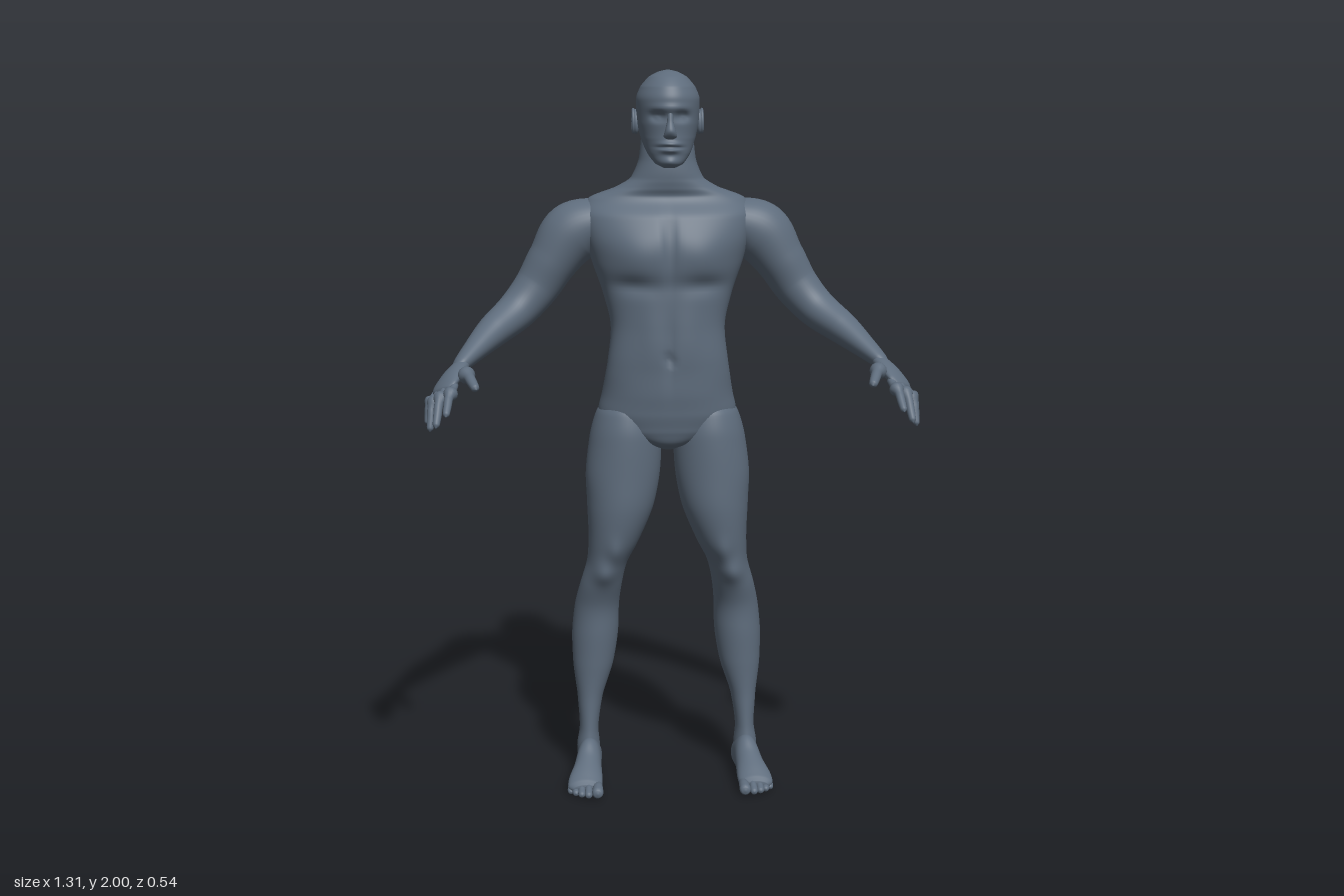
import * as THREE from 'three';

const skin = new THREE.MeshStandardMaterial({ color: 0x5e6c7c });
skin.name = 'slate skin';

// Smooth loft through sections [x, y, z, halfU, halfV]. With a fixed axis all
// rings stay parallel, otherwise they follow the path.
function loft(sections, { hint = [1, 0, 0], axis = null, seg = 24, steps = 24, power = 1 } = {}) {
  const path = new THREE.CatmullRomCurve3(sections.map(s => new THREE.Vector3(s[0], s[1], s[2])));
  const size = new THREE.CatmullRomCurve3(sections.map(s => new THREE.Vector3(s[3], s[4], 0)));
  const pos = [], idx = [];
  const soft = v => Math.sign(v) * Math.abs(v) ** power;
  for (let i = 0; i <= steps; i++) {
    const k = i / steps, c = path.getPoint(k), r = size.getPoint(k);
    const t = axis ? new THREE.Vector3(...axis) : path.getTangent(k);
    const u = new THREE.Vector3(...hint).projectOnPlane(t).normalize();
    const v = t.clone().cross(u);
    for (let j = 0; j < seg; j++) {
      const a = (j / seg) * Math.PI * 2;
      const p = c.clone().addScaledVector(u, r.x * soft(Math.cos(a))).addScaledVector(v, r.y * soft(Math.sin(a)));
      pos.push(p.x, p.y, p.z);
      if (i === steps) continue;
      const n = (j + 1) % seg, A = i * seg + j, B = i * seg + n;
      idx.push(A, B, A + seg, B, B + seg, A + seg);
    }
  }
  // End caps
  const first = path.getPoint(0), last = path.getPoint(1), top = steps * seg, pole = top + seg;
  pos.push(first.x, first.y, first.z, last.x, last.y, last.z);
  for (let j = 0; j < seg; j++) {
    const n = (j + 1) % seg;
    idx.push(pole, n, j, pole + 1, top + j, top + n);
  }
  const g = new THREE.BufferGeometry();
  g.setAttribute('position', new THREE.Float32BufferAttribute(pos, 3));
  g.setIndex(idx);
  g.computeVertexNormals();
  return g;
}

// Soft muscle bumps: [x, y, z, spreadX, spreadY, spreadZ, push in z]
function sculpt(g, bumps) {
  const p = g.attributes.position;
  for (let i = 0; i < p.count; i++) {
    const x = p.getX(i), y = p.getY(i), z = p.getZ(i);
    let dz = 0;
    for (const [bx, by, bz, sx, sy, sz, push] of bumps)
      dz += push * Math.exp(-(((x - bx) / sx) ** 2) - ((y - by) / sy) ** 2 - ((z - bz) / sz) ** 2);
    p.setZ(i, z + dz);
  }
  g.computeVertexNormals();
  return g;
}
const both = list => list.flatMap(b => [b, [-b[0], ...b.slice(1)]]);

export function createModel() {
  const model = new THREE.Group();
  model.name = 'figure';
  const add = (name, g, parent = model) => {
    const m = new THREE.Mesh(g, skin);
    m.name = name;
    parent.add(m);
    return m;
  };
  const up = [0, 1, 0], down = [0, -1, 0];

  // Torso and neck, bottom to top
  const torso = loft([
    [0, 0.965, -0.10, 0.02, 0.03], [0, 0.985, -0.11, 0.08, 0.075], [0, 1.02, -0.125, 0.165, 0.105],
    [0, 1.07, -0.129, 0.192, 0.118], [0, 1.12, -0.123, 0.182, 0.118], [0, 1.2, -0.1, 0.168, 0.098],
    [0, 1.3, -0.102, 0.157, 0.1], [0, 1.4, -0.12, 0.178, 0.117], [0, 1.48, -0.127, 0.206, 0.13],
    [0, 1.55, -0.131, 0.225, 0.133], [0, 1.61, -0.141, 0.235, 0.12], [0, 1.655, -0.152, 0.215, 0.09],
    [0, 1.685, -0.142, 0.14, 0.083], [0, 1.71, -0.13, 0.1, 0.074], [0, 1.76, -0.124, 0.078, 0.067],
    [0, 1.83, -0.123, 0.07, 0.06],
  ], { axis: up, seg: 112, steps: 110, power: 0.9 });
  add('torso', sculpt(torso, [
    [0, 1.53, 0, 0.014, 0.09, 0.06, -0.012],      // breastbone groove
    [0, 1.25, 0, 0.012, 0.1, 0.05, -0.006],       // belly line
    [0, 1.225, 0, 0.012, 0.014, 0.05, -0.01],     // navel
    [0, 1.4, -0.25, 0.025, 0.25, 0.07, 0.02],     // spine groove
    [0, 1.05, -0.25, 0.017, 0.07, 0.09, 0.045],   // cleft
    ...both([
      [0.085, 1.5, 0, 0.075, 0.055, 0.07, 0.014], // chest muscles
      [0.1, 1.425, 0, 0.07, 0.022, 0.07, -0.012],
      [0.09, 1.56, -0.25, 0.06, 0.08, 0.06, -0.01], // shoulder blades
      [0.085, 1.06, -0.23, 0.06, 0.05, 0.08, -0.014],
      [0.05, 1.3, 0, 0.035, 0.1, 0.05, 0.005],    // belly muscles
    ]),
  ]));

  // Head
  const head = loft([
    [0, 1.742, -0.03, 0.015, 0.018], [0, 1.752, -0.034, 0.036, 0.034], [0, 1.78, -0.06, 0.058, 0.064],
    [0, 1.82, -0.09, 0.074, 0.097], [0, 1.86, -0.1, 0.083, 0.108], [0, 1.92, -0.102, 0.086, 0.115],
    [0, 1.955, -0.102, 0.074, 0.102], [0, 1.982, -0.1, 0.05, 0.07], [0, 1.995, -0.1, 0.025, 0.035],
    [0, 2.0, -0.1, 0.002, 0.003],
  ], { axis: up, seg: 96, steps: 100 });
  add('head', sculpt(head, [
    [0, 1.805, 0, 0.026, 0.007, 0.03, 0.011],     // lips
    [0, 1.789, 0, 0.024, 0.007, 0.03, 0.011],
    [0, 1.797, 0, 0.03, 0.003, 0.03, -0.008],
    [0, 1.758, 0, 0.022, 0.012, 0.03, 0.008],     // chin
    [0, 1.9, 0.01, 0.06, 0.01, 0.04, 0.006],      // brow
    ...both([
      [0.034, 1.878, 0, 0.019, 0.012, 0.04, -0.015],
      [0.034, 1.876, 0, 0.009, 0.006, 0.04, 0.006],
    ]),
  ]));
  add('nose', loft([
    [0, 1.895, 0.002, 0.007, 0.007], [0, 1.865, 0.006, 0.009, 0.012], [0, 1.84, 0.01, 0.015, 0.019],
    [0, 1.826, 0.007, 0.018, 0.015], [0, 1.818, 0.002, 0.008, 0.006],
  ], { axis: down }));

  for (const s of [1, -1]) {
    const side = new THREE.Group();
    side.name = s > 0 ? 'leftSide' : 'rightSide';
    model.add(side);
    const flip = list => list.map(([x, ...rest]) => [s * x, ...rest]);
    const limb = (name, list, o = {}) => add(name, loft(flip(list), { ...o, hint: flip([o.hint || [1, 0, 0]])[0] }), side);

    // Ear: shell with a hollow
    const ear = new THREE.SphereGeometry(1, 20, 14).scale(0.011, 0.034, 0.021).rotateX(-0.2);
    add('ear', ear.translate(s * 0.086, 1.862, -0.108), side);
    const rim = new THREE.TorusGeometry(0.017, 0.0045, 8, 24).scale(1, 1.65, 1).rotateY(Math.PI / 2);
    add('earRim', rim.rotateX(-0.2).translate(s * 0.093, 1.864, -0.11), side);

    // Leg from hip to ankle
    const leg = limb('leg', [
      [0.1, 1.13, -0.13, 0.04, 0.05], [0.113, 1.07, -0.13, 0.083, 0.1], [0.117, 1.0, -0.126, 0.1, 0.109],
      [0.125, 0.9, -0.116, 0.104, 0.101], [0.133, 0.8, -0.113, 0.093, 0.098], [0.152, 0.7, -0.118, 0.071, 0.088],
      [0.172, 0.63, -0.13, 0.057, 0.077], [0.187, 0.57, -0.142, 0.059, 0.07], [0.199, 0.5, -0.168, 0.063, 0.073],
      [0.204, 0.43, -0.174, 0.066, 0.075], [0.211, 0.33, -0.166, 0.058, 0.062], [0.221, 0.23, -0.156, 0.036, 0.047],
      [0.225, 0.14, -0.148, 0.027, 0.043], [0.227, 0.08, -0.147, 0.033, 0.049], [0.225, 0.03, -0.15, 0.03, 0.045],
      [0.225, 0.012, -0.15, 0.02, 0.03],
    ], { axis: down, seg: 48, steps: 110 });
    sculpt(leg.geometry, flip([
      [0.18, 0.61, -0.06, 0.032, 0.035, 0.04, 0.014],  // kneecap
      [0.15, 0.68, -0.04, 0.02, 0.035, 0.05, 0.008],
      [0.17, 0.45, -0.24, 0.03, 0.08, 0.05, -0.008],   // calf heads
      [0.204, 0.43, -0.25, 0.012, 0.08, 0.05, 0.008],
    ]));

    // Foot with a flat sole, and toes
    const foot = limb('foot', [
      [0.222, 0.03, -0.212, 0.008, 0.012], [0.222, 0.035, -0.2, 0.026, 0.032], [0.223, 0.045, -0.16, 0.035, 0.05],
      [0.226, 0.057, -0.1, 0.035, 0.06], [0.232, 0.042, -0.05, 0.04, 0.045], [0.239, 0.029, 0, 0.048, 0.031],
      [0.241, 0.021, 0.03, 0.047, 0.021], [0.239, 0.018, 0.045, 0.034, 0.012],
    ], { axis: [0, 0, 1], seg: 40, steps: 50 });
    const fp = foot.geometry.attributes.position;
    for (let i = 0; i < fp.count; i++) fp.setY(i, Math.max(0, fp.getY(i)));
    foot.geometry.computeVertexNormals();
    [[0.207, 0.08, 0.016], [0.232, 0.077, 0.011], [0.251, 0.069, 0.0105], [0.267, 0.056, 0.01], [0.281, 0.04, 0.0095]]
      .forEach(([x, z, r]) => limb('toe', [
        [x - 0.003, 0.022, z - 0.06, r * 0.7, r * 0.7], [x - 0.001, 0.022, z - 0.035, r * 0.9, r * 0.9],
        [x, r + 0.001, z - 0.012, r, r], [x, r, z - 0.003, r * 0.75, r * 0.7], [x, r, z, r * 0.15, r * 0.15],
      ], { axis: [0, 0, 1], seg: 16, steps: 16 }));

    // Arm from shoulder to wrist
    limb('arm', [
      [0.14, 1.595, -0.155, 0.03, 0.025], [0.19, 1.588, -0.156, 0.078, 0.068], [0.258, 1.558, -0.156, 0.084, 0.085],
      [0.314, 1.485, -0.15, 0.073, 0.07], [0.36, 1.412, -0.145, 0.063, 0.062], [0.412, 1.352, -0.122, 0.06, 0.055],
      [0.478, 1.302, -0.055, 0.052, 0.045], [0.525, 1.263, 0.015, 0.039, 0.032], [0.562, 1.23, 0.075, 0.029, 0.021],
      [0.572, 1.218, 0.095, 0.018, 0.014],
    ], { hint: [0, 0, 1], seg: 40, steps: 72 });

    // Hand
    limb('palm', [
      [0.552, 1.238, 0.058, 0.016, 0.012], [0.563, 1.226, 0.08, 0.028, 0.019], [0.583, 1.206, 0.115, 0.037, 0.02],
      [0.6, 1.186, 0.147, 0.042, 0.016], [0.607, 1.176, 0.163, 0.034, 0.011], [0.61, 1.171, 0.17, 0.01, 0.004],
    ], { hint: [-0.055, 0.025, 0.055], seg: 28, steps: 30 });
    const digit = (name, a, b, c, r) => {
      const mix = (p, q, k, f) => [...p.map((v, i) => v + (q[i] - v) * k), r * f, r * f];
      limb(name, [mix(a, b, 0, 0.8), mix(a, b, 0.5, 1), mix(b, c, 0, 1), mix(b, c, 0.5, 0.92), mix(b, c, 0.88, 0.75), mix(b, c, 1, 0.1)],
        { hint: [1, 0, 0.1], seg: 16, steps: 24 });
    };
    digit('indexFinger', [0.574, 1.192, 0.165], [0.588, 1.168, 0.218], [0.595, 1.125, 0.268], 0.0115);
    digit('middleFinger', [0.597, 1.185, 0.155], [0.614, 1.153, 0.208], [0.622, 1.093, 0.252], 0.012);
    digit('ringFinger', [0.613, 1.177, 0.143], [0.634, 1.137, 0.183], [0.64, 1.076, 0.208], 0.0115);
    digit('littleFinger', [0.623, 1.17, 0.122], [0.644, 1.134, 0.146], [0.65, 1.085, 0.153], 0.0105);
    digit('thumb', [0.562, 1.22, 0.1], [0.538, 1.212, 0.165], [0.517, 1.188, 0.226], 0.0145);
  }
  return model;
}
